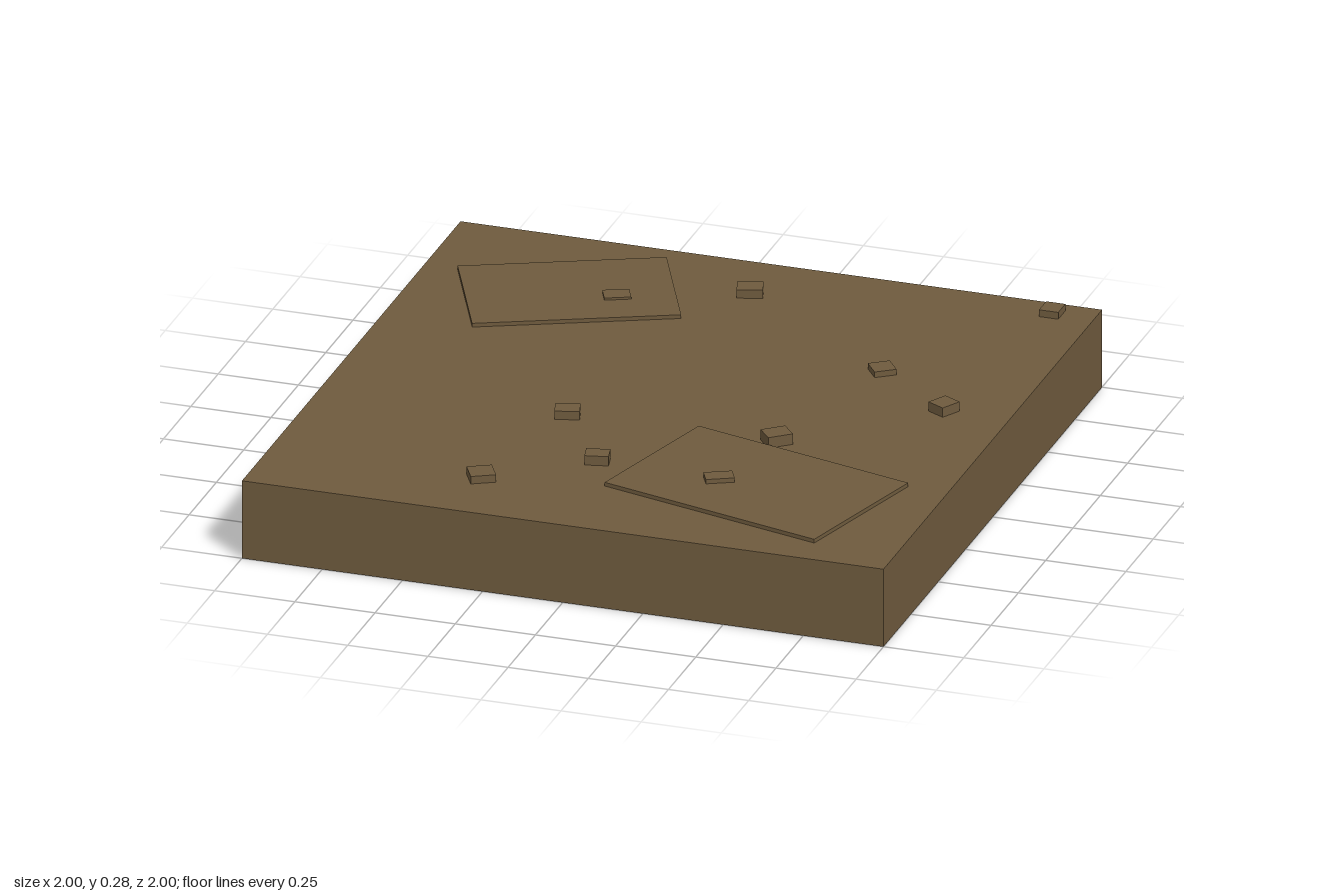
import * as THREE from 'three';

const GROUND = 0.25; // top of the slab

export function createModel() {
  const group = new THREE.Group();
  const soil = new THREE.MeshStandardMaterial({ color: 0x6f5b3e });
  soil.name = 'soil brown';

  // Box from y = bottom to y = top, turned about the vertical axis
  function block(name, x, z, width, depth, bottom, top, turn = 0) {
    const mesh = new THREE.Mesh(new THREE.BoxGeometry(width, top - bottom, depth), soil);
    mesh.name = name;
    mesh.position.set(x, (top + bottom) / 2, z);
    mesh.rotation.y = turn;
    group.add(mesh);
  }

  // Ground slab
  block('groundSlab', 0, 0, 2, 2, 0, GROUND);

  // Thin raised patches
  block('backPatch', -0.525, -0.602, 0.62, 0.423, GROUND - 0.01, 0.262, 0.43);
  block('frontPatch', 0.45, 0.548, 0.745, 0.497, GROUND - 0.01, 0.262, -0.264);

  // Small stones: x, z, width, depth, top height, turn
  const stones = [
    [0.87, -0.925, 0.06, 0.065, 0.272, 0],
    [-0.02, -0.773, 0.078, 0.062, 0.277, 0.3],
    [0.532, -0.362, 0.068, 0.068, 0.268, 0.63],
    [0.797, -0.15, 0.062, 0.068, 0.28, -0.5],
    [0.403, 0.224, 0.078, 0.065, 0.284, 0.7],
    [-0.244, 0.24, 0.075, 0.06, 0.277, 0.28],
    [-0.052, 0.53, 0.072, 0.055, 0.28, 0.22],
    [0.338, 0.562, 0.086, 0.054, 0.276, 0.47],
    [-0.338, 0.753, 0.076, 0.075, 0.274, 0.5],
    [-0.38, -0.61, 0.08, 0.06, 0.269, 0.43],
  ];
  stones.forEach(([x, z, w, d, top, turn], i) =>
    block(`stone${i + 1}`, x, z, w, d, GROUND - 0.01, top, turn));

  return group;
}
